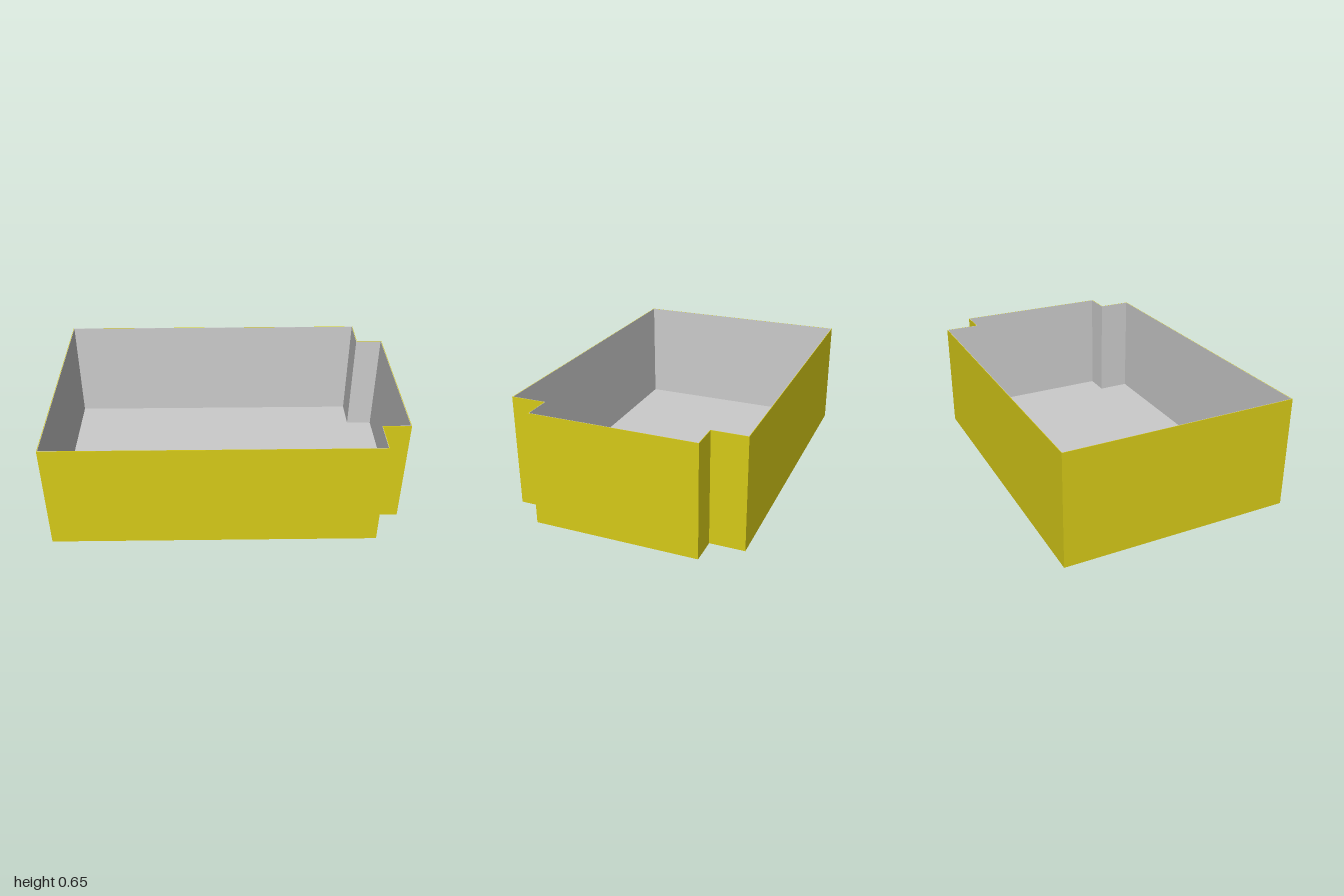
import * as THREE from 'three';

const HEIGHT = 0.645;
const SHELL = 0.003;  // thickness of the outer walls and base
const LINER = 0.002;  // thickness of the inner lining

// Tray footprint with a narrower bay on the +x side, inset by d
function footprint(d, Type = THREE.Shape) {
  const left = -1 + d, step = 0.843 - d, right = 1 - d;
  const wide = 0.664 - d, narrow = 0.467 - d;
  return new Type([
    [left, -wide], [step, -wide], [step, -narrow], [right, -narrow],
    [right, narrow], [step, narrow], [step, wide], [left, wide],
  ].map(([x, y]) => new THREE.Vector2(x, y)));
}

// Upright extrusion of a footprint, starting at height y
function slab(name, shape, y, height, material) {
  const geometry = new THREE.ExtrudeGeometry(shape, { depth: height, bevelEnabled: false });
  geometry.rotateX(-Math.PI / 2).translate(0, y, 0);
  const mesh = new THREE.Mesh(geometry, material);
  mesh.name = name;
  return mesh;
}

// Footprint ring between two insets
function ring(outer, inner) {
  const shape = footprint(outer);
  shape.holes.push(footprint(inner, THREE.Path));
  return shape;
}

export function createModel() {
  const yellow = new THREE.MeshStandardMaterial({ color: 0xd6ca18 });
  const grey = new THREE.MeshStandardMaterial({ color: 0xcccccc });
  const group = new THREE.Group();
  group.name = 'openTray';

  group.add(
    // Coloured outer shell
    slab('base', footprint(0), 0, SHELL, yellow),
    slab('outerWalls', ring(0, SHELL), SHELL, HEIGHT - SHELL, yellow),
    // Grey lining
    slab('floorLining', footprint(SHELL), SHELL, LINER, grey),
    slab('wallLining', ring(SHELL, SHELL + LINER), SHELL + LINER, HEIGHT - SHELL - LINER, grey),
  );
  return group;
}
